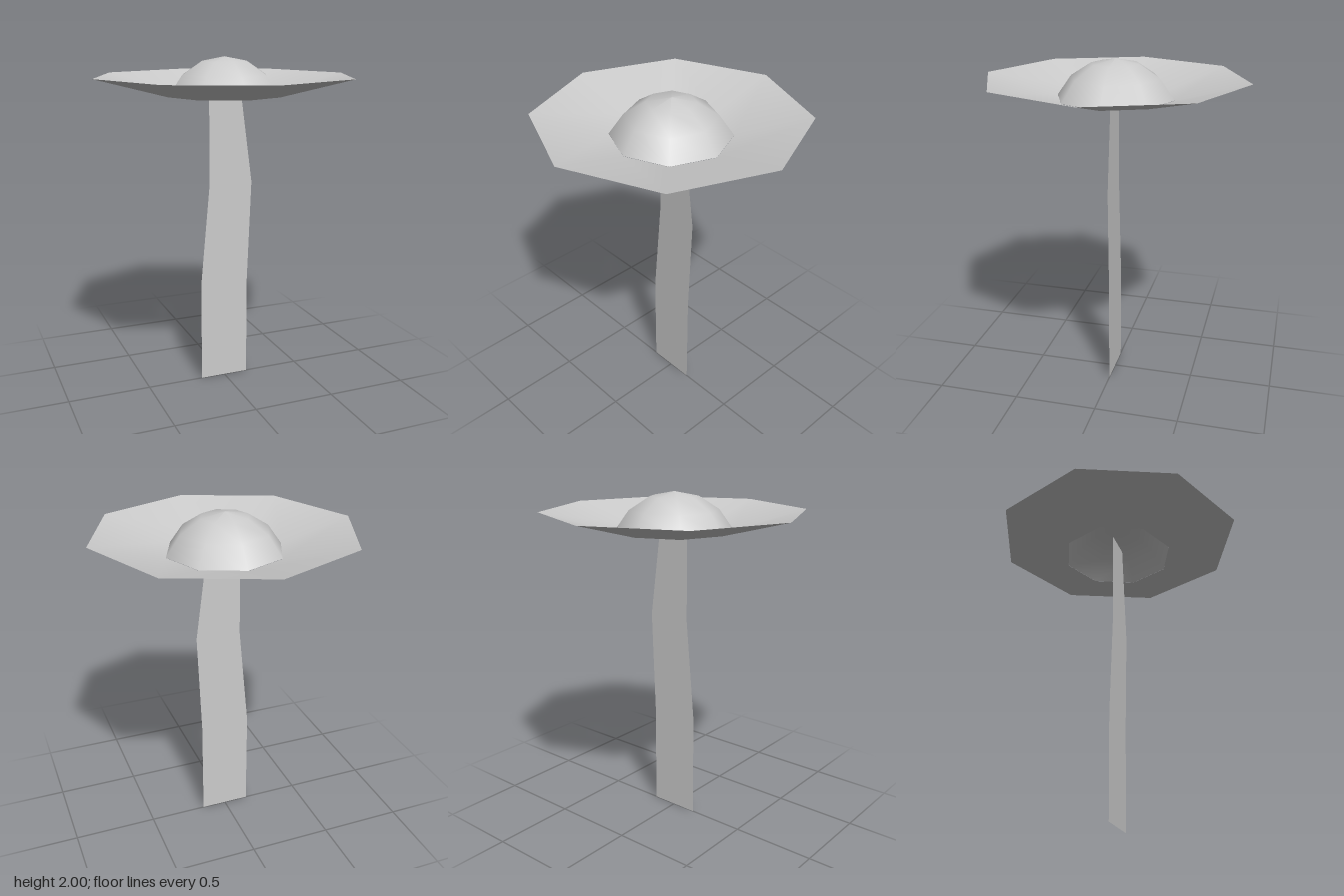
import * as THREE from 'three';

const material = new THREE.MeshStandardMaterial({ color: 0xcccccc, side: THREE.DoubleSide });
const SIDES = 8;

function part(name, geometry) {
  const mesh = new THREE.Mesh(geometry, material);
  mesh.name = name;
  return mesh;
}

const lathe = (profile) =>
  new THREE.LatheGeometry(profile.map(([r, y]) => new THREE.Vector2(r, y)), SIDES);

export function createModel() {
  const flower = new THREE.Group();
  flower.name = 'flower';

  // Flat, slightly crooked stem: [height, left edge, right edge]
  const rows = [[0, -0.153, 0.152], [0.625, -0.153, 0.152], [1.25, -0.095, 0.178], [1.87, -0.095, 0.095]];
  const outline = [
    ...rows.map(([y, , x]) => new THREE.Vector2(x, y)),
    ...rows.map(([y, x]) => new THREE.Vector2(x, y)).reverse(),
  ];
  flower.add(part('stem', new THREE.ShapeGeometry(new THREE.Shape(outline))));

  // Open, shallow ring of petals, facing up
  flower.add(part('petals', lathe([[0.775, 1.89], [0.345, 1.777]])));

  // Hollow spherical cap in the middle
  const radius = 0.38, maxAngle = 1.14, rings = 3;
  const cap = [];
  for (let i = rings; i >= 0; i--) {
    const a = (maxAngle * i) / rings;
    cap.push([radius * Math.sin(a), 2 - radius * (1 - Math.cos(a))]);
  }
  flower.add(part('flowerCentre', lathe(cap)));

  return flower;
}
